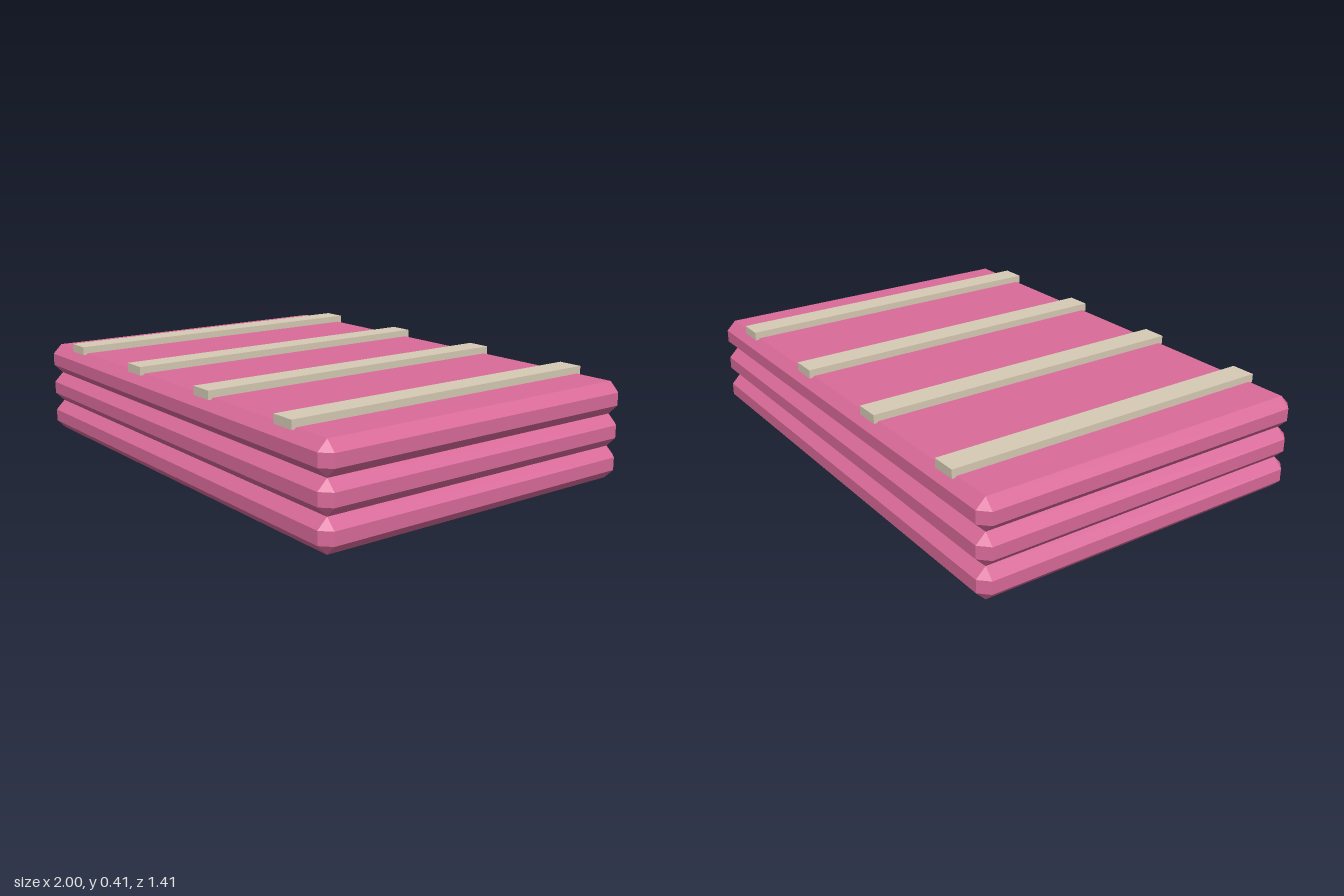
import * as THREE from 'three';
import { ConvexGeometry } from 'three/addons/geometries/ConvexGeometry.js';

// Box with every edge cut at 45 degrees, given its half sizes and the cut
function chamferedBox(hx, hy, hz, c) {
  const points = [];
  for (const sx of [-1, 1]) for (const sy of [-1, 1]) for (const sz of [-1, 1]) {
    points.push(
      new THREE.Vector3(sx * hx, sy * (hy - c), sz * (hz - c)),
      new THREE.Vector3(sx * (hx - c), sy * hy, sz * (hz - c)),
      new THREE.Vector3(sx * (hx - c), sy * (hy - c), sz * hz)
    );
  }
  return new ConvexGeometry(points);
}

export function createModel() {
  const group = new THREE.Group();
  group.name = 'slattedStack';
  const pink = new THREE.MeshStandardMaterial({ name: 'pink', color: 0xd96a99 });
  const beige = new THREE.MeshStandardMaterial({ name: 'beige', color: 0xd6cab4 });

  // Three stacked slabs
  const height = 0.126;
  const slab = chamferedBox(1, height / 2, 0.707, 0.038);
  for (let i = 0; i < 3; i++) {
    const mesh = new THREE.Mesh(slab, pink);
    mesh.name = `slab${i + 1}`;
    mesh.position.y = height * (i + 0.5);
    group.add(mesh);
  }

  // Four slats running front to back across the top
  const slat = new THREE.BoxGeometry(0.1, 0.034, 1.375);
  [-0.75, -0.25, 0.25, 0.75].forEach((x, i) => {
    const mesh = new THREE.Mesh(slat, beige);
    mesh.name = `slat${i + 1}`;
    mesh.position.set(x, 0.389, 0);
    group.add(mesh);
  });

  return group;
}
